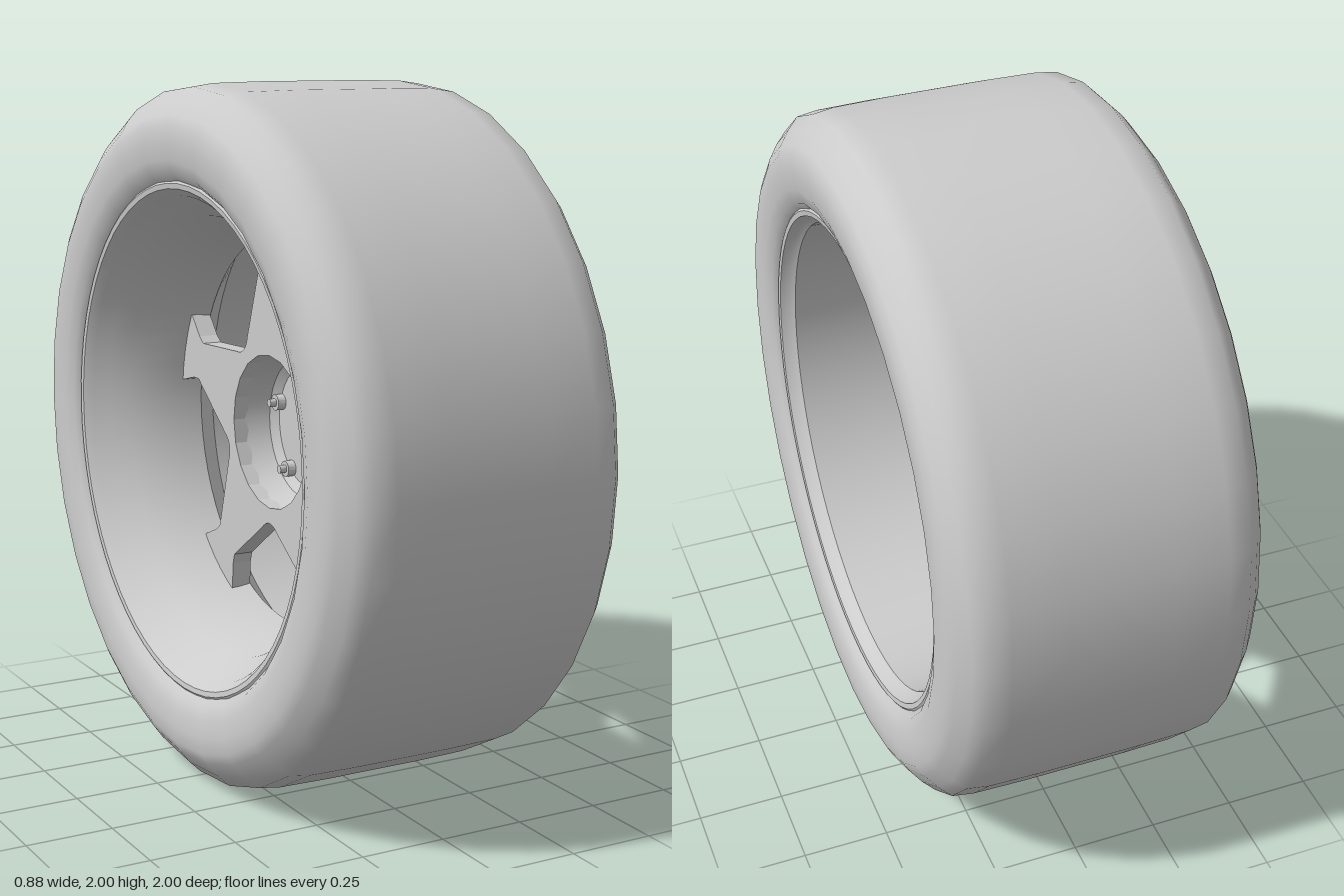
import * as THREE from 'three';
import { toCreasedNormals } from 'three/addons/utils/BufferGeometryUtils.js';

const SPOKES = 5;
const material = new THREE.MeshStandardMaterial({ color: 0xcccccc, side: THREE.DoubleSide });

// Revolves [axial x, radius] points around the x axis
function revolve(name, points, segments, crease) {
  let geometry = new THREE.LatheGeometry(points.map(([x, r]) => new THREE.Vector2(r, x)), segments);
  if (crease) geometry = toCreasedNormals(geometry, crease);
  geometry.rotateZ(-Math.PI / 2);
  return named(name, geometry);
}

function named(name, geometry) {
  const mesh = new THREE.Mesh(geometry, material);
  mesh.name = name;
  return mesh;
}

// Five-pointed spoke plate with rounded valleys, flared tips and a hub hole
function spokeStar() {
  const shape = new THREE.Shape();
  for (let i = 0; i < SPOKES; i++) {
    const a = (i * 2 * Math.PI) / SPOKES;
    const at = (x, y, turn = a) => [
      x * Math.cos(turn) + y * Math.sin(turn),
      y * Math.cos(turn) - x * Math.sin(turn),
    ];
    const tip = [[-0.135, 0.26], [-0.06, 0.47], [-0.07, 0.5], [-0.11, 0.565], [-0.11, 0.574],
      [0, 0.585], [0.11, 0.574], [0.11, 0.565], [0.07, 0.5], [0.06, 0.47], [0.135, 0.26]];
    tip.forEach(([x, y], k) => {
      if (i === 0 && k === 0) shape.moveTo(...at(x, y));
      else shape.lineTo(...at(x, y));
    });
    const next = a + (2 * Math.PI) / SPOKES;
    shape.quadraticCurveTo(...at(0, 0.252, a + Math.PI / SPOKES), ...at(-0.135, 0.26, next));
  }
  shape.holes.push(new THREE.Path().absarc(0, 0, 0.225, 0, Math.PI * 2, true));
  const geometry = new THREE.ExtrudeGeometry(shape, { depth: 0.06, bevelEnabled: false, curveSegments: 10 });
  geometry.rotateY(Math.PI / 2).translate(-0.13, 0, 0);
  return named('spokes', geometry);
}

export function createModel() {
  const model = new THREE.Group();
  model.name = 'wheel';
  const wheel = new THREE.Group();
  wheel.name = 'wheelAssembly';
  wheel.position.y = 1;
  model.add(wheel);

  // Tyre: mirrored half profile from bead to tread
  const half = [[0.34, 0.71], [0.4, 0.725], [0.425, 0.75], [0.438, 0.79], [0.442, 0.84], [0.44, 0.885],
    [0.425, 0.915], [0.395, 0.955], [0.362, 0.988], [0.3, 0.997], [0.15, 1]];
  const tyre = [...half.map(([x, r]) => [-x, r]), ...half.slice().reverse()];
  wheel.add(revolve('tyre', tyre, 32));

  // Rim: outer lip, deep barrel, tapered step, then the rear barrel
  const rim = [[0.37, 0.735], [0.405, 0.735], [0.412, 0.725], [0.41, 0.71], [0.385, 0.7], [0.37, 0.685],
    [0.02, 0.675], [-0.07, 0.572], [-0.14, 0.582], [-0.29, 0.63], [-0.34, 0.67], [-0.385, 0.69],
    [-0.41, 0.71], [-0.412, 0.725], [-0.405, 0.735], [-0.37, 0.735]];
  wheel.add(revolve('rim', rim, 64, 0.5));

  wheel.add(spokeStar());

  // Hub: raised dish, hollow behind, with a shallow centre cap
  const hub = [[0.0, 0], [0.0, 0.18], [-0.02, 0.205], [-0.13, 0.235], [-0.07, 0.25], [-0.05, 0.243],
    [-0.01, 0.225], [0.02, 0.2], [0.032, 0.175], [0.036, 0.12], [0.028, 0.118], [0.028, 0.112],
    [0.036, 0.11], [0.036, 0]];
  wheel.add(revolve('hub', hub, 40, 0.6));

  // Wheel bolts: domed heads in front, nut and stud end behind
  const bolt = [[-0.045, 0], [-0.045, 0.012], [-0.025, 0.012], [-0.025, 0.024], [0.0, 0.024],
    [0.02, 0.035], [0.045, 0.035], [0.06, 0.028], [0.069, 0.015], [0.072, 0]];
  for (let i = 0; i < SPOKES; i++) {
    const a = (i * 2 * Math.PI) / SPOKES;
    const mesh = revolve('bolt', bolt, 16, 0.7);
    mesh.position.set(0, 0.17 * Math.cos(a), 0.17 * Math.sin(a));
    wheel.add(mesh);
  }
  return model;
}
